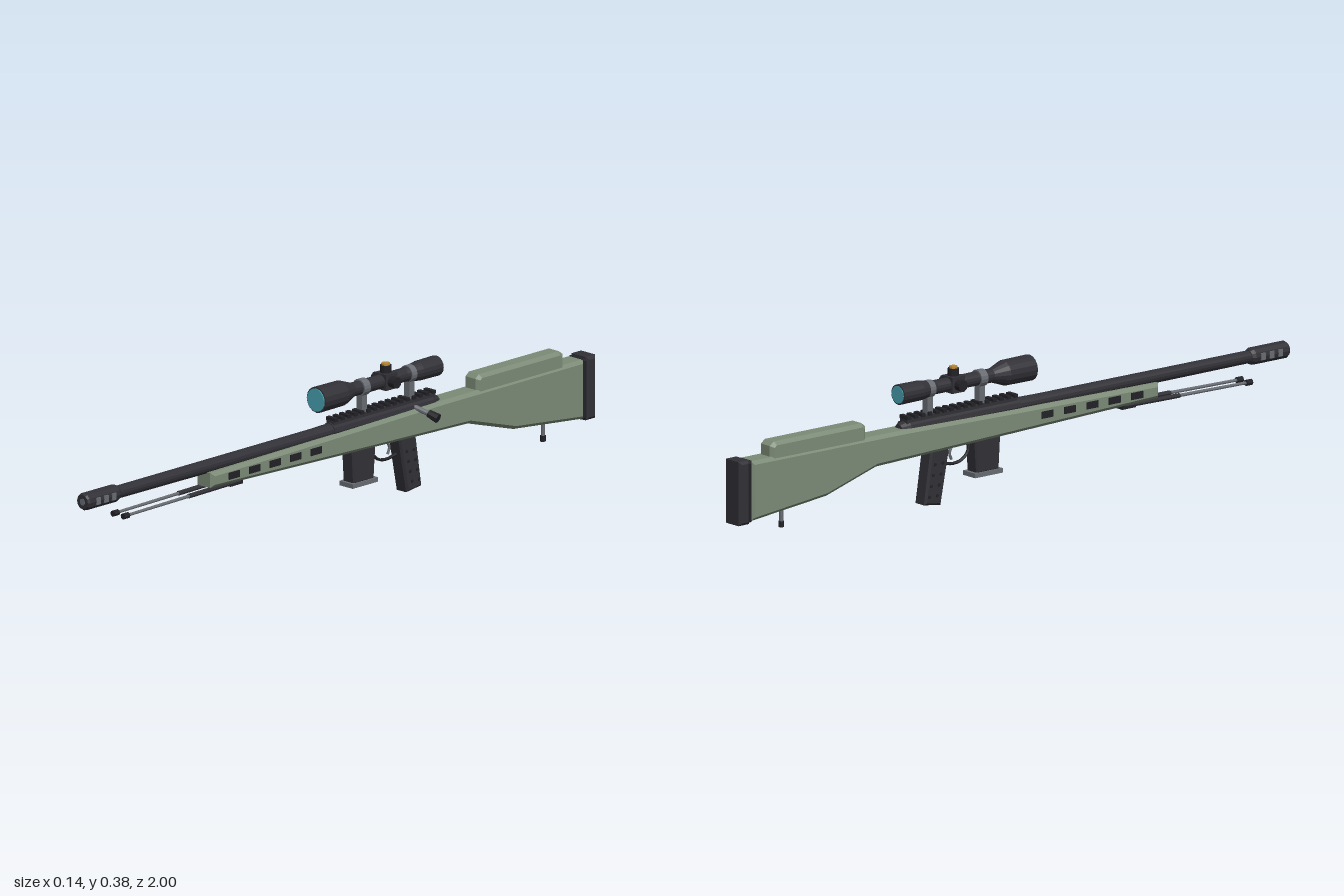
import * as THREE from 'three';

const CX = -0.023;   // centre plane of the rifle
const BORE = 0.236;  // height of the barrel axis
const SCOPE = 0.336; // height of the scope axis

function material(name, color) {
  const m = new THREE.MeshStandardMaterial({ color });
  m.name = name;
  return m;
}

export function createModel() {
  const model = new THREE.Group();
  model.name = 'rifle';
  const green = material('stock green', 0x7b8a76);
  const dark = material('gunmetal', 0x303036);
  const black = material('black', 0x222227);
  const gray = material('steel gray', 0x686c72);
  const teal = material('lens teal', 0x48a2b2);
  const gold = material('gold', 0xb98a35);

  // Faceted mesh, added to the model
  function add(name, geometry, mat) {
    const g = geometry.index ? geometry.toNonIndexed() : geometry;
    g.computeVertexNormals();
    const mesh = new THREE.Mesh(g, mat);
    mesh.name = name;
    model.add(mesh);
    return mesh;
  }
  // Box centred at x, y, z
  function box(name, mat, w, h, d, x, y, z) {
    const m = add(name, new THREE.BoxGeometry(w, h, d), mat);
    m.position.set(x, y, z);
    return m;
  }
  // Turned part along z from [z, radius] points, listed front to back
  function turned(name, mat, y, points, sides = 16) {
    const pts = points.map(([z, r]) => new THREE.Vector2(r, z)).reverse();
    const m = add(name, new THREE.LatheGeometry(pts, sides).rotateX(Math.PI / 2), mat);
    m.position.set(CX, y, 0);
    return m;
  }
  // Rod between two points
  function rod(name, mat, a, b, r1, r2 = r1, sides = 8) {
    const A = new THREE.Vector3(...a), B = new THREE.Vector3(...b);
    const m = add(name, new THREE.CylinderGeometry(r2, r1, A.distanceTo(B), sides), mat);
    m.position.copy(A).add(B).multiplyScalar(0.5);
    m.quaternion.setFromUnitVectors(new THREE.Vector3(0, 1, 0), B.sub(A).normalize());
    return m;
  }
  // Side profile of [z, y] points with chamfered edges, centred on the rifle
  function slab(name, mat, width, bevel, points) {
    const shape = new THREE.Shape(points.map(p => new THREE.Vector2(...p)));
    const g = new THREE.ExtrudeGeometry(shape, {
      depth: width - 2 * bevel, bevelSize: bevel, bevelOffset: -bevel,
      bevelThickness: bevel, bevelSegments: 1,
    });
    g.translate(0, 0, bevel - width / 2).rotateY(-Math.PI / 2);
    const m = add(name, g, mat);
    m.position.x = CX;
    return m;
  }

  // Stock, cheek rest and butt pad
  slab('stock', green, 0.068, 0.01, [
    [0.52, 0.18], [0.52, 0.224], [0.02, 0.232], [-0.4, 0.24], [-0.955, 0.242],
    [-0.955, 0.07], [-0.68, 0.098], [-0.5, 0.152], [-0.2, 0.16],
  ]);
  slab('cheekRest', green, 0.058, 0.01, [
    [-0.535, 0.225], [-0.535, 0.272], [-0.548, 0.283], [-0.865, 0.283], [-0.88, 0.272], [-0.88, 0.225],
  ]);
  slab('buttPlate', black, 0.062, 0.006, [[-0.95, 0.068], [-0.95, 0.243], [-0.968, 0.243], [-0.968, 0.066]]);
  slab('buttPad', dark, 0.07, 0.008, [[-0.962, 0.064], [-0.962, 0.247], [-1, 0.247], [-1, 0.064]]);

  // Cooling slots on both sides of the fore-end
  for (let i = 0; i < 5; i++) {
    for (const s of [-1, 1]) {
      box('foreEndSlot', black, 0.004, 0.02, 0.042, CX + s * 0.0345, 0.203, 0.435 - i * 0.081);
    }
  }

  // Barrel and muzzle brake
  turned('barrel', dark, BORE, [[0.88, 0], [0.88, 0.018], [0.1, 0.02], [0, 0.022], [0, 0]]);
  turned('muzzleBrake', dark, BORE, [
    [1, 0], [1, 0.021], [0.994, 0.025], [0.876, 0.025], [0.865, 0.02], [0.865, 0],
  ], 12);
  turned('muzzleBore', gray, BORE, [[1.001, 0], [1.001, 0.01], [0.995, 0.01]], 10);
  for (let i = 0; i < 3; i++) {
    for (const s of [-1, 1]) {
      box('brakePort', gray, 0.004, 0.02, 0.016, CX + s * 0.0245, BORE, 0.962 - i * 0.031);
    }
  }

  // Receiver with toothed rail
  turned('receiver', dark, BORE, [
    [0.025, 0], [0.025, 0.024], [-0.37, 0.024], [-0.398, 0.016], [-0.4, 0],
  ], 12);
  box('railBase', dark, 0.03, 0.014, 0.4, CX, 0.258, -0.18);
  for (let i = 0; i < 16; i++) {
    box('railTooth', black, 0.036, 0.01, 0.013, CX, 0.268, 0.012 - i * 0.0257);
  }

  // Bolt handle on the left
  rod('boltArm', gray, [CX + 0.015, 0.242, -0.295], [0.042, 0.225, -0.313], 0.008, 0.007);
  rod('boltKnob', black, [0.035, 0.228, -0.311], [0.064, 0.217, -0.319], 0.011, 0.014);

  // Scope body, lenses and turrets
  turned('scopeBody', dark, SCOPE, [
    [0.075, 0], [0.075, 0.037], [-0.02, 0.036], [-0.065, 0.02], [-0.27, 0.02],
    [-0.325, 0.028], [-0.4, 0.029], [-0.4, 0],
  ]);
  turned('frontLens', teal, SCOPE, [[0.078, 0], [0.078, 0.033], [0.074, 0.033]], 20);
  turned('rearLens', teal, SCOPE, [[-0.399, 0.025], [-0.402, 0.025], [-0.402, 0]], 20);
  box('turretHousing', dark, 0.046, 0.046, 0.045, CX, SCOPE, -0.2);
  rod('topTurret', black, [CX, SCOPE, -0.2], [CX, 0.38, -0.2], 0.016, 0.016, 12);
  rod('turretCap', gold, [CX, 0.379, -0.2], [CX, 0.386, -0.2], 0.012, 0.012, 12);
  rod('sideTurrets', black, [CX - 0.043, SCOPE, -0.2], [CX + 0.045, SCOPE, -0.2], 0.016, 0.016, 12);

  // Scope rings on posts
  for (const z of [-0.105, -0.293]) {
    box('ringPost', gray, 0.022, 0.06, 0.02, CX, 0.293, z);
    turned('scopeRing', gray, SCOPE, [
      [z + 0.012, 0.015], [z + 0.012, 0.0245], [z - 0.012, 0.0245], [z - 0.012, 0.015],
    ]);
  }

  // Magazine
  slab('magazine', dark, 0.044, 0.004, [[-0.046, 0.17], [-0.14, 0.17], [-0.133, 0.07], [-0.052, 0.07]]);
  box('magazineBase', gray, 0.052, 0.013, 0.1, CX, 0.066, -0.093);

  // Pistol grip with studs
  slab('grip', dark, 0.048, 0.006, [[-0.23, 0.165], [-0.298, 0.165], [-0.322, 0.01], [-0.262, 0.002]]);
  for (let i = 0; i < 4; i++) {
    for (const dz of [-0.014, 0.014]) {
      const z = -0.272 - i * 0.007 + dz, y = 0.122 - i * 0.03;
      rod('gripStud', black, [CX - 0.026, y, z], [CX + 0.026, y, z], 0.005, 0.005, 6);
    }
  }

  // Trigger and guard
  const guard = new THREE.CatmullRomCurve3([
    [0.16, -0.142], [0.13, -0.15], [0.112, -0.172], [0.107, -0.205], [0.115, -0.245],
  ].map(([y, z]) => new THREE.Vector3(CX, y, z)));
  add('triggerGuard', new THREE.TubeGeometry(guard, 12, 0.0045, 6), black);
  const trigger = new THREE.CatmullRomCurve3([
    [0.16, -0.205], [0.138, -0.214], [0.12, -0.207],
  ].map(([y, z]) => new THREE.Vector3(CX, y, z)));
  add('trigger', new THREE.TubeGeometry(trigger, 6, 0.004, 6), gray);

  // Folded bipod
  box('bipodMount', black, 0.05, 0.016, 0.05, CX, 0.175, 0.415);
  for (const s of [-1, 1]) {
    const x = CX + s * 0.02;
    rod('bipodLeg', gray, [x, 0.176, 0.4], [x, 0.169, 0.85], 0.0055, 0.0045);
    rod('bipodSleeve', dark, [x, 0.176, 0.4], [x, 0.173, 0.6], 0.007);
    rod('bipodFoot', black, [x, 0.169, 0.84], [x, 0.169, 0.86], 0.009);
  }

  // Rear support under the butt
  rod('rearSupport', gray, [CX, 0.1, -0.822], [CX, 0.04, -0.822], 0.006);
  rod('rearSupportFoot', black, [CX, 0.045, -0.822], [CX, 0.028, -0.822], 0.008);

  return model;
}
